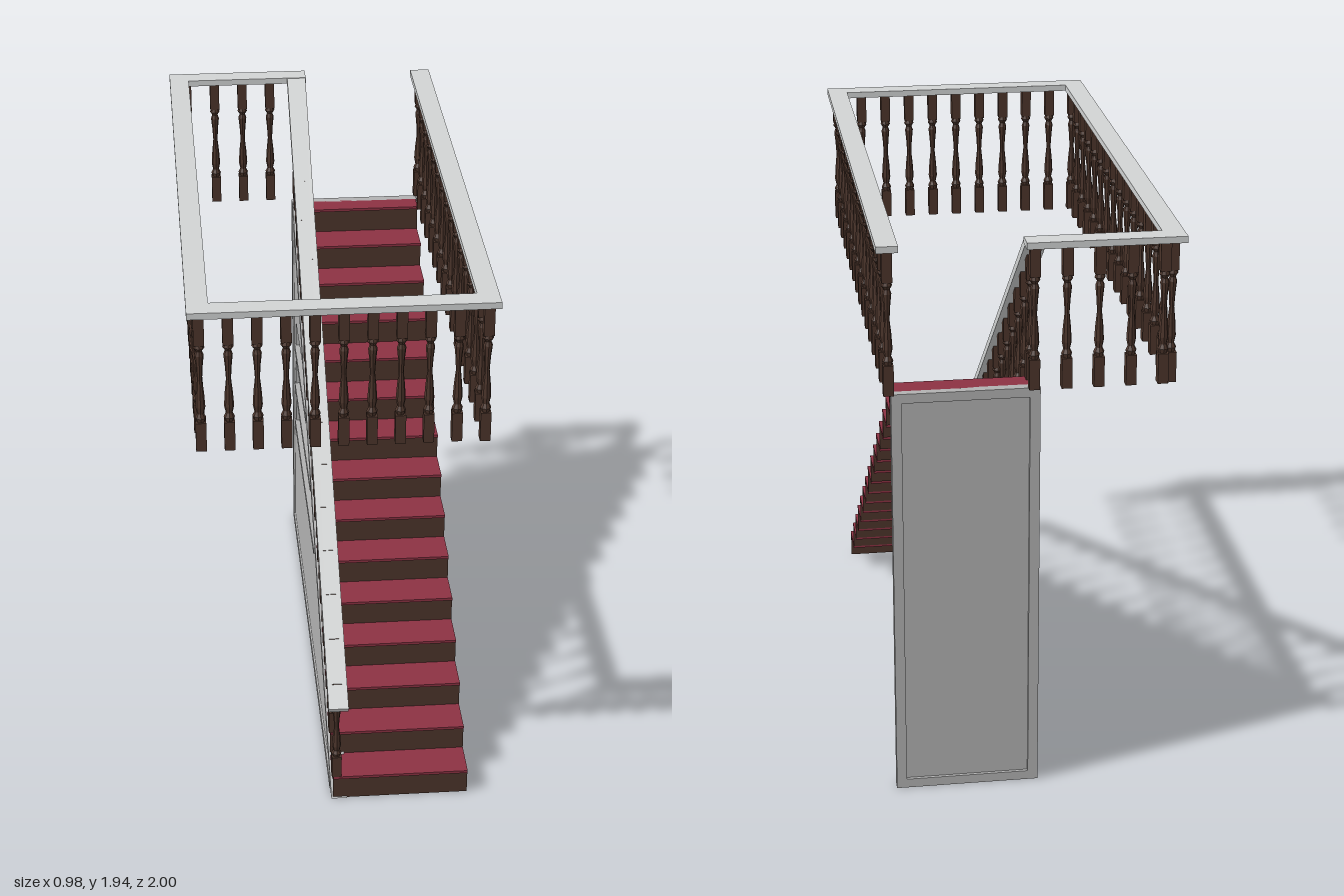
import * as THREE from 'three';
import { mergeGeometries } from 'three/addons/utils/BufferGeometryUtils.js';

const material = (name, color) => {
  const m = new THREE.MeshStandardMaterial({ color });
  m.name = name;
  return m;
};

export function createModel() {
  const model = new THREE.Group();
  const brown = material('dark wood', 0x4c352b);
  const red = material('red carpet', 0x8c3243);
  const white = material('rail paint', 0xd2d4d4);
  const grey = material('wall paint', 0xb2b2b2);

  const add = (name, geometry, mat) => {
    const mesh = new THREE.Mesh(geometry, mat);
    mesh.name = name;
    model.add(mesh);
    return mesh;
  };
  // Box given by its limits on each axis
  const box = (name, [x0, x1], [y0, y1], [z0, z1], mat) => {
    const g = new THREE.BoxGeometry(x1 - x0, y1 - y0, z1 - z0);
    g.translate((x0 + x1) / 2, (y0 + y1) / 2, (z0 + z1) / 2);
    return add(name, g, mat);
  };
  // Side profile of [z, y] points, extruded from x0 to x1
  const slab = (name, profile, x0, x1, mat, hole) => {
    const points = (list) => list.map(([z, y]) => new THREE.Vector2(-z, y));
    const shape = new THREE.Shape(points(profile));
    if (hole) shape.holes.push(new THREE.Path(points(hole)));
    const g = new THREE.ExtrudeGeometry(shape, { depth: x1 - x0, bevelEnabled: false });
    g.rotateY(Math.PI / 2).translate(x0, 0, 0);
    return add(name, g, mat);
  };

  // Stairs: thin treads and risers, closed by an end block on the wall side
  const count = 15, rise = 1.437 / count, run = 0.1265, front = 0.925;
  for (let i = 0; i < count; i++) {
    const z = front - i * run, back = Math.max(z - run, -0.91), y = i * rise;
    box('riser', [-0.03, 0.44], [y, y + rise - 0.01], [z - 0.01, z], brown);
    box('tread', [-0.03, 0.44], [y + rise - 0.01, y + rise], [back - 0.005, z + 0.008], red);
    box('stepEnd', [-0.027, 0.012], [y, y + rise - 0.01], [back, z - 0.01], brown);
  }

  // Wall below the stairs with a shelved niche
  const niche = [[0.09, 0.515], [-0.835, 0.515], [-0.835, 0.96], [-0.45, 0.96]];
  const nicheOuter = [[0.12, 0.505], [-0.845, 0.505], [-0.845, 0.97], [-0.445, 0.97]];
  slab('wall', [[0.89, 0], [-0.92, 0], [-0.92, 1.4]], -0.031, 0.002, grey, niche);
  slab('nicheSides', nicheOuter, 0.002, 0.11, grey, niche);
  slab('nicheBack', nicheOuter, 0.11, 0.118, grey);
  [[0.49, 0.115], [0.66, -0.05], [0.83, -0.26]].forEach(([y, z]) =>
    box('shelf', [-0.036, 0.122], [y, y + 0.026], [-0.848, z], grey));
  slab('stringer', [[0.93, 0], [0.875, 0], [-0.92, 1.39], [-0.92, 1.437]], -0.036, 0.018, grey);
  box('baseboard', [-0.038, 0.012], [0, 0.03], [-0.91, 0.87], grey);

  // Framed panel closing the back
  box('backPanel', [-0.03, 0.44], [0, 1.43], [-0.932, -0.918], grey);
  for (const x of [-0.038, 0.41]) box('panelPost', [x, x + 0.034], [0, 1.437], [-0.943, -0.91], grey);
  for (const y of [0, 1.405]) box('panelRail', [-0.004, 0.41], [y, y + 0.032], [-0.943, -0.91], grey);

  // Handrails around the landing, and the sloping one
  const top = [1.92, 1.942];
  box('leftSideRail', [-0.492, -0.422], top, [-1, 0.97], white);
  box('rightSideRail', [0.417, 0.487], top, [-0.975, 0.97], white);
  box('frontRail', [-0.422, 0.417], top, [0.9, 0.97], white);
  box('backRail', [-0.422, 0.018], top, [-1, -0.93], white);
  slab('slopingRail', [[0.985, 0.415], [1, 0.437], [-0.93, 1.94], [-0.945, 1.918]], -0.052, 0.016, white);

  // Turned baluster of unit height with square ends
  const profile = [[0.012, 0.2], [0.018, 0.24], [0.011, 0.27], [0.016, 0.32], [0.013, 0.42],
    [0.008, 0.52], [0.011, 0.62], [0.015, 0.7], [0.01, 0.73], [0.018, 0.755], [0.012, 0.79]];
  const block = (y0, y1) =>
    new THREE.BoxGeometry(0.034, y1 - y0, 0.034).translate(0, (y0 + y1) / 2, 0);
  const turned = new THREE.LatheGeometry(profile.map(([r, y]) => new THREE.Vector2(r, y)), 8);
  const balusterGeometry = mergeGeometries([block(0, 0.21), turned, block(0.78, 1)]).toNonIndexed();
  balusterGeometry.computeVertexNormals();
  const baluster = (x, z, y0 = 1.44, y1 = 1.925) => {
    const mesh = add('baluster', balusterGeometry, brown);
    mesh.position.set(x, y0, z);
    mesh.scale.y = y1 - y0;
  };

  // Rows of balusters along each rail
  for (let i = 0; i < 16; i++) {
    const z = 0.94 - i * 0.1257;
    baluster(0.452, z);
    if (i > 0) baluster(-0.457, z);
  }
  for (let i = 0; i < 10; i++) baluster(-0.455 + i * 0.0907, 0.935);
  for (let i = 0; i < 5; i++) baluster(-0.43 + i * 0.104, -0.955);
  for (let i = 0; i < count; i++) {
    const z = 0.915 - i * run;
    baluster(-0.018, z, (i + 1) * rise, 0.425 + (1 - z) * 0.778);
  }
  return model;
}
